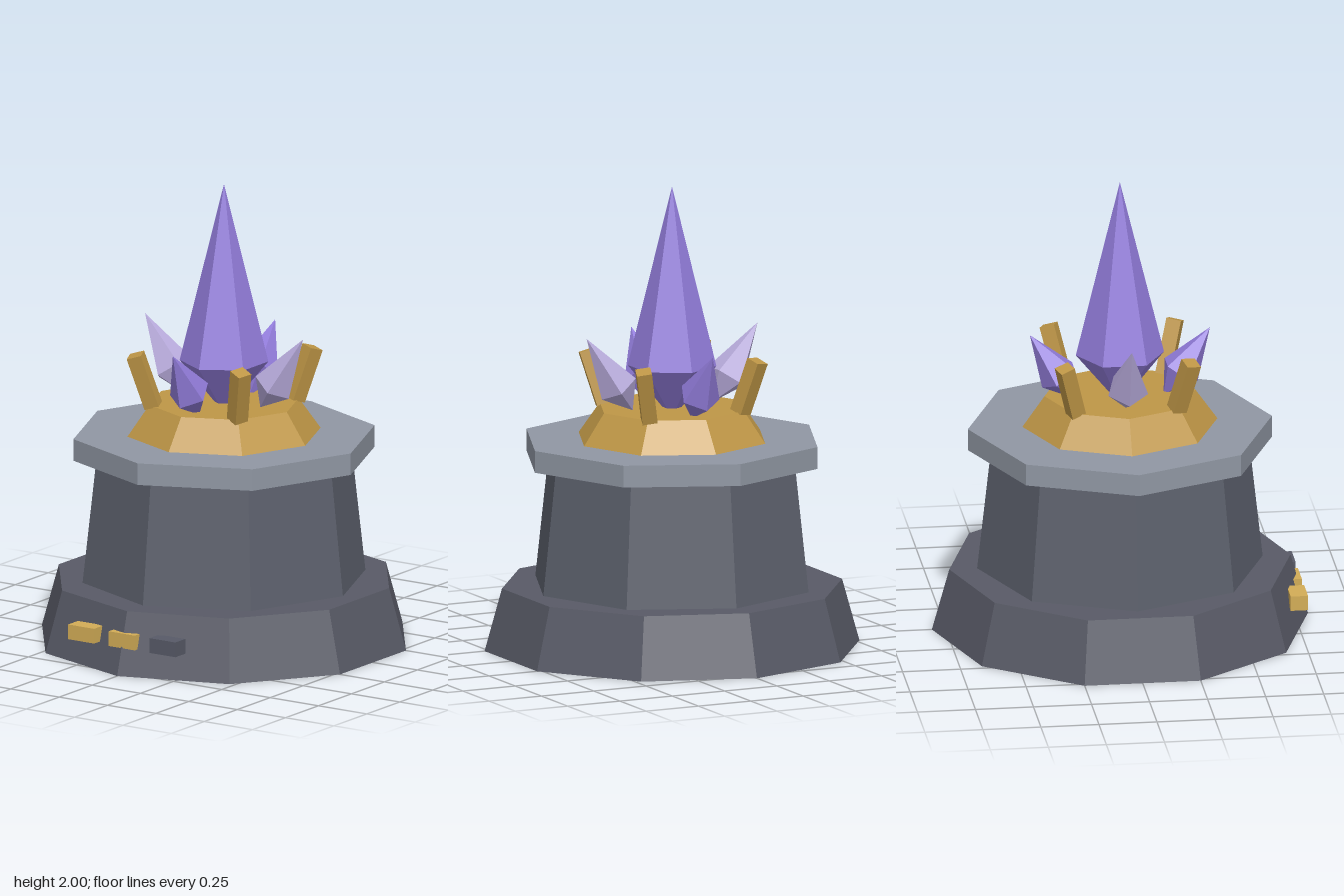
import * as THREE from 'three';

function material(name, color) {
  const m = new THREE.MeshStandardMaterial({ color, flatShading: true });
  m.name = name;
  return m;
}

export function createModel() {
  const baseStone = material('base stone', 0x585a66);
  const columnStone = material('column stone', 0x5c606c);
  const capStone = material('cap stone', 0x9097a3);
  const gold = material('gold', 0xbe9646);
  const brightGold = material('bright gold', 0xd2ac56);
  const darkPlaque = material('dark plaque', 0x575a67);
  const violet = material('violet crystal', 0x937ddc);
  const lilac = material('lilac crystal', 0xb8abdc);

  const model = new THREE.Group();
  model.name = 'crystalPedestal';

  function add(parent, name, geometry, mat, x = 0, y = 0, z = 0) {
    const mesh = new THREE.Mesh(geometry, mat);
    mesh.name = name;
    mesh.position.set(x, y, z);
    parent.add(mesh);
    return mesh;
  }

  // Stacked faceted tiers, from the ground up
  function tier(name, mat, sides, rBottom, rTop, y0, y1) {
    add(model, name, new THREE.CylinderGeometry(rTop, rBottom, y1 - y0, sides), mat, 0, (y0 + y1) / 2, 0);
  }
  tier('base', baseStone, 10, 0.81, 0.735, 0, 0.27);
  tier('column', columnStone, 8, 0.615, 0.555, 0.27, 0.81);
  tier('cap', capStone, 8, 0.655, 0.655, 0.81, 0.905);
  tier('goldSocket', gold, 8, 0.42, 0.325, 0.905, 1.04);

  // Crystal: long point above the girdle, short point below, origin at the girdle
  function crystal(name, mat, sides, radius, above, below) {
    const group = new THREE.Group();
    group.name = name;
    add(group, 'upperPoint', new THREE.ConeGeometry(radius, above, sides, 1, true), mat, 0, above / 2, 0);
    add(group, 'lowerPoint', new THREE.CylinderGeometry(radius, 0, below, sides, 1, true), mat, 0, -below / 2, 0);
    model.add(group);
    return group;
  }
  crystal('mainCrystal', violet, 6, 0.19, 0.78, 0.23).position.y = 1.22;

  // Four small crystals leaning outward; the side pair is paler and taller
  for (let i = 0; i < 4; i++) {
    const onSide = i % 2 === 1;
    const yaw = i * Math.PI / 2;
    const shard = crystal('smallCrystal', onSide ? lilac : violet, 5, 0.09, onSide ? 0.267 : 0.23, 0.13);
    shard.position.set(Math.sin(yaw) * 0.26, onSide ? 1.15 : 1.13, Math.cos(yaw) * 0.26);
    shard.rotation.order = 'YXZ';
    shard.rotation.set(0.59, yaw, 0);
  }

  // Four gold prongs on the diagonals, splayed outward
  for (const sx of [-1, 1]) {
    for (const sz of [-1, 1]) {
      const prong = add(model, 'prong', new THREE.BoxGeometry(0.065, 0.24, 0.065), gold, sx * 0.245, 1.15, sz * 0.245);
      prong.rotation.y = -sx * 0.35;
      prong.rotateOnWorldAxis(new THREE.Vector3(sz, 0, -sx).normalize(), 0.33);
    }
  }

  // Row of three plaques on the front of the base
  [brightGold, brightGold, darkPlaque].forEach((mat, i) => {
    add(model, 'plaque', new THREE.BoxGeometry(0.135, 0.065, 0.075), mat, (i - 1) * 0.21, 0.148, 0.738);
  });

  return model;
}
